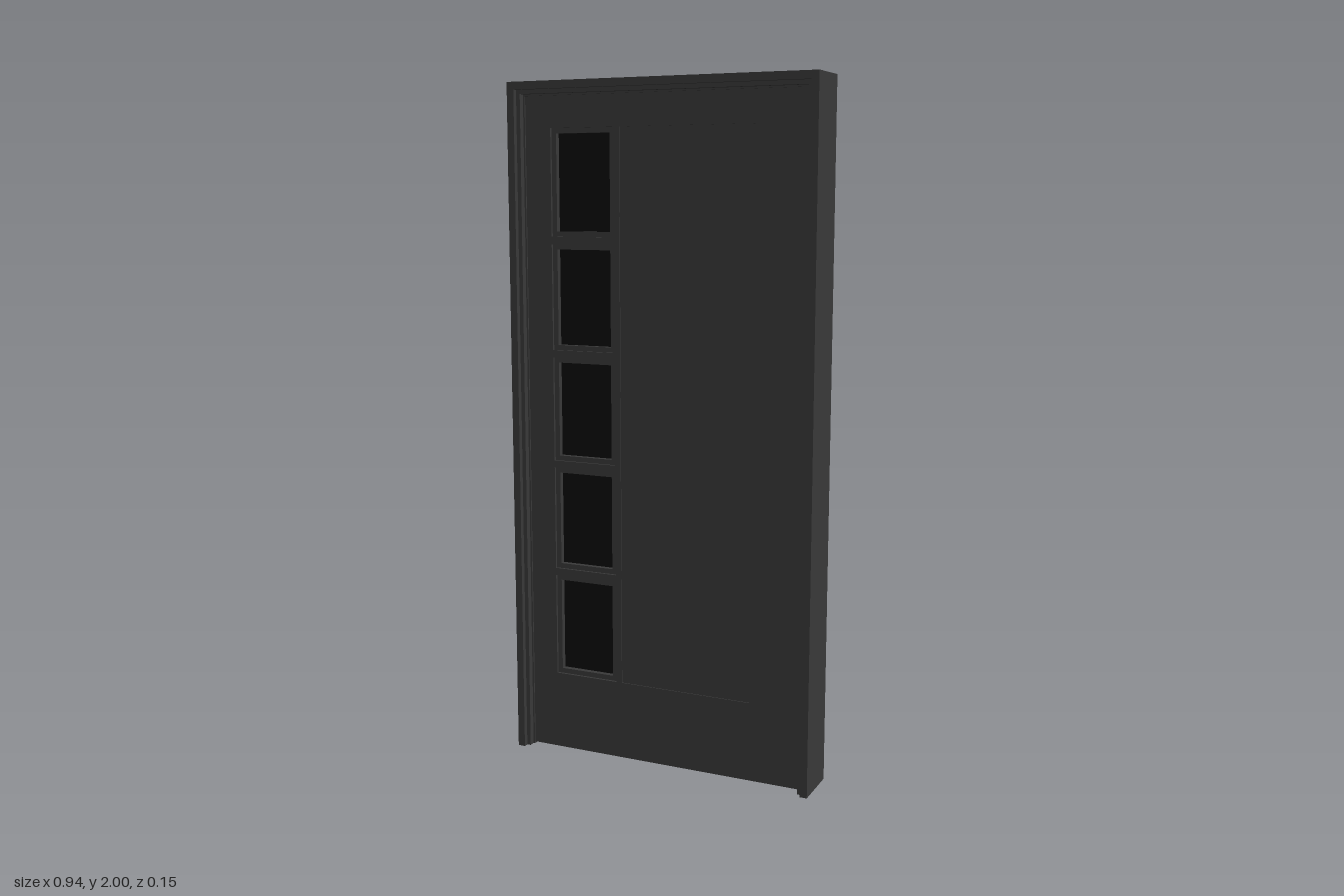
import * as THREE from 'three';

const paint = new THREE.MeshStandardMaterial({ color: 0x3a3a3a });
const glass = new THREE.MeshStandardMaterial({ color: 0x0a0a0a });

// Box given by its limits on each axis
function block(name, x0, x1, y0, y1, z0, z1, material = paint) {
  const mesh = new THREE.Mesh(new THREE.BoxGeometry(x1 - x0, y1 - y0, z1 - z0), material);
  mesh.position.set((x0 + x1) / 2, (y0 + y1) / 2, (z0 + z1) / 2);
  mesh.name = name;
  return mesh;
}

// One layer of the door frame: two jambs and a head, open at the floor
function frameLayer(name, width, z0, z1) {
  const W = 0.47, H = 2, i = W - width;
  const shape = new THREE.Shape([
    [-W, 0], [-i, 0], [-i, H - width], [i, H - width], [i, 0], [W, 0], [W, H], [-W, H],
  ].map(([x, y]) => new THREE.Vector2(x, y)));
  const geometry = new THREE.ExtrudeGeometry(shape, { depth: z1 - z0, bevelEnabled: false });
  geometry.translate(0, 0, z0);
  const mesh = new THREE.Mesh(geometry, paint);
  mesh.name = name;
  return mesh;
}

// Rectangular ring that holds a pane
function bead(x0, x1, y0, y1, t, z0, z1) {
  const rect = (a, b, c, d) => [[a, c], [b, c], [b, d], [a, d]].map(([x, y]) => new THREE.Vector2(x, y));
  const shape = new THREE.Shape(rect(x0, x1, y0, y1));
  shape.holes.push(new THREE.Path(rect(x0 + t, x1 - t, y0 + t, y1 - t)));
  const geometry = new THREE.ExtrudeGeometry(shape, { depth: z1 - z0, bevelEnabled: false });
  geometry.translate(0, 0, z0);
  const mesh = new THREE.Mesh(geometry, paint);
  mesh.name = 'paneBead';
  return mesh;
}

export function createModel() {
  const model = new THREE.Group();
  model.name = 'door';

  // Stepped frame, from front to back
  const frame = new THREE.Group();
  frame.name = 'doorFrame';
  [
    ['frontTrim', 0.022, 0.06, 0.075],
    ['frontStep', 0.034, 0.042, 0.06],
    ['jambs', 0.039, -0.02, 0.042],
    ['doorStop', 0.058, -0.04, -0.02],
    ['backStep', 0.045, -0.06, -0.04],
    ['backTrim', 0.033, -0.075, -0.06],
  ].forEach((layer) => frame.add(frameLayer(...layer)));
  model.add(frame);

  // Leaf: stiles, rails and solid panel
  const leaf = new THREE.Group();
  leaf.name = 'doorLeaf';
  const zb = -0.02, zf = 0.038, edge = 0.431;
  const left = -0.35, right = 0.28, low = 0.24, high = 1.87, bottom = 0.005, top = 1.961;
  leaf.add(
    block('windowStile', -edge, left, bottom, top, zb, zf),
    block('lockStile', right, edge, bottom, top, zb, zf),
    block('bottomRail', left, right, bottom, low, zb, zf),
    block('topRail', left, right, high, top, zb, zf),
    block('panel', -0.13, right, low, high, zb + 0.003, zf - 0.003),
    block('middleStile', -0.148, -0.13, low, high, zb, zf),
  );

  // Column of five windows with bars between them
  const count = 5, bar = 0.022, pitch = (high - low + bar) / count;
  for (let i = 0; i < count; i++) {
    const y0 = low + i * pitch, y1 = y0 + pitch - bar;
    leaf.add(bead(left, -0.148, y0, y1, 0.015, zb + 0.007, zf - 0.007));
    leaf.add(block('pane', left + 0.01, -0.158, y0 + 0.01, y1 - 0.01, 0.003, 0.015, glass));
    if (i < count - 1) leaf.add(block('windowBar', left, -0.148, y1, y1 + bar, zb, zf));
  }
  model.add(leaf);

  return model;
}
